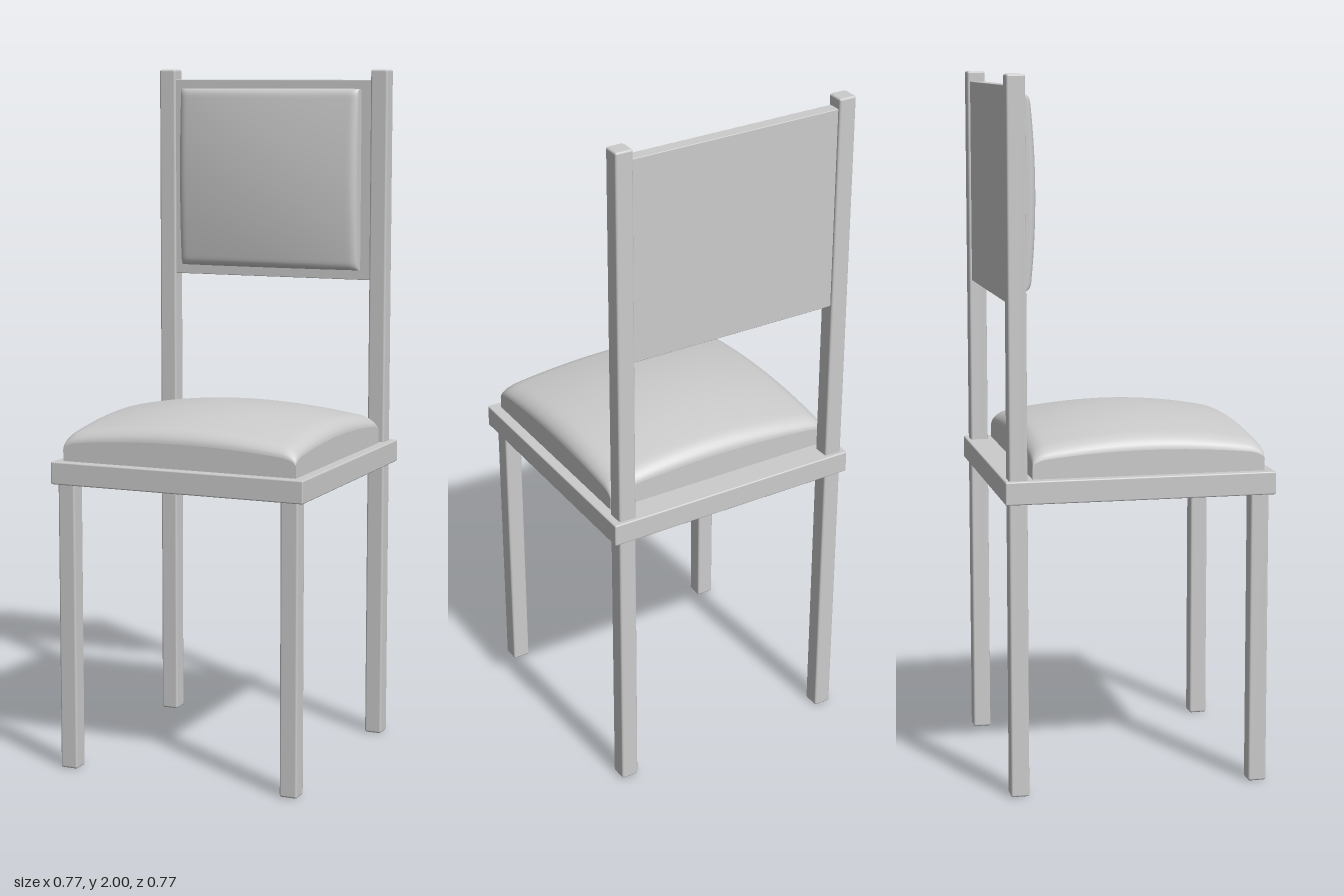
import * as THREE from 'three';
import { RoundedBoxGeometry } from 'three/addons/geometries/RoundedBoxGeometry.js';

const material = new THREE.MeshStandardMaterial({ color: 0xcccccc });

// Box given by its lower and upper corners, with slightly eased edges
function block(name, [x0, y0, z0], [x1, y1, z1], radius = 0.004) {
  const geometry = new RoundedBoxGeometry(x1 - x0, y1 - y0, z1 - z0, 2, radius);
  const mesh = new THREE.Mesh(geometry, material);
  mesh.name = name;
  mesh.position.set((x0 + x1) / 2, (y0 + y1) / 2, (z0 + z1) / 2);
  return mesh;
}

// Crown of a cushion across one axis: shallow dome, then a rounded rim
function crown(u, rim) {
  const a = Math.abs(u);
  const t = Math.min(1, Math.max(0, (a - 1 + rim) / rim));
  return 1 - 0.29 * a * a - 0.22 * (1 - Math.sqrt(1 - t * t));
}

// Upholstered pad lying on y = 0 with a domed top
function cushion(name, width, depth, height, rim) {
  const geometry = new THREE.BoxGeometry(2, 1, 2, 40, 4, 40);
  const p = geometry.attributes.position;
  for (let i = 0; i < p.count; i++) {
    // crowd the grid lines towards the rim
    const u = Math.sin(p.getX(i) * Math.PI / 2);
    const v = Math.sin(p.getZ(i) * Math.PI / 2);
    const y = (p.getY(i) + 0.5) * height * crown(u, rim) * crown(v, rim);
    p.setXYZ(i, u * width / 2, y, v * depth / 2);
  }
  geometry.computeVertexNormals();
  const mesh = new THREE.Mesh(geometry, material);
  mesh.name = name;
  return mesh;
}

export function createModel() {
  const chair = new THREE.Group();
  chair.name = 'chair';

  // Seat board and its cushion
  chair.add(block('seatFrame', [-0.385, 0.835, -0.385], [0.385, 0.9, 0.382]));
  const seat = cushion('seatCushion', 0.712, 0.66, 0.148, 0.13);
  seat.position.set(-0.002, 0.898, 0.025);
  chair.add(seat);

  // Front legs, and back legs running up as posts
  for (const [side, x] of [['left', 0.338], ['right', -0.345]]) {
    const w = 0.026;
    chair.add(block(side + 'FrontLeg', [x - w, 0, 0.313], [x + w, 0.84, 0.365], 0.006));
    chair.add(block(side + 'BackPost', [x - w, 0, -0.373], [x + w, 2, -0.321], 0.006));
  }

  // Backrest board and its padded front
  chair.add(block('backBoard', [-0.322, 1.382, -0.365], [0.317, 1.97, -0.328], 0.002));
  const pad = cushion('backPad', 0.572, 0.532, 0.069, 0.08);
  pad.rotation.x = Math.PI / 2;
  pad.position.set(-0.004, 1.678, -0.329);
  chair.add(pad);

  return chair;
}
